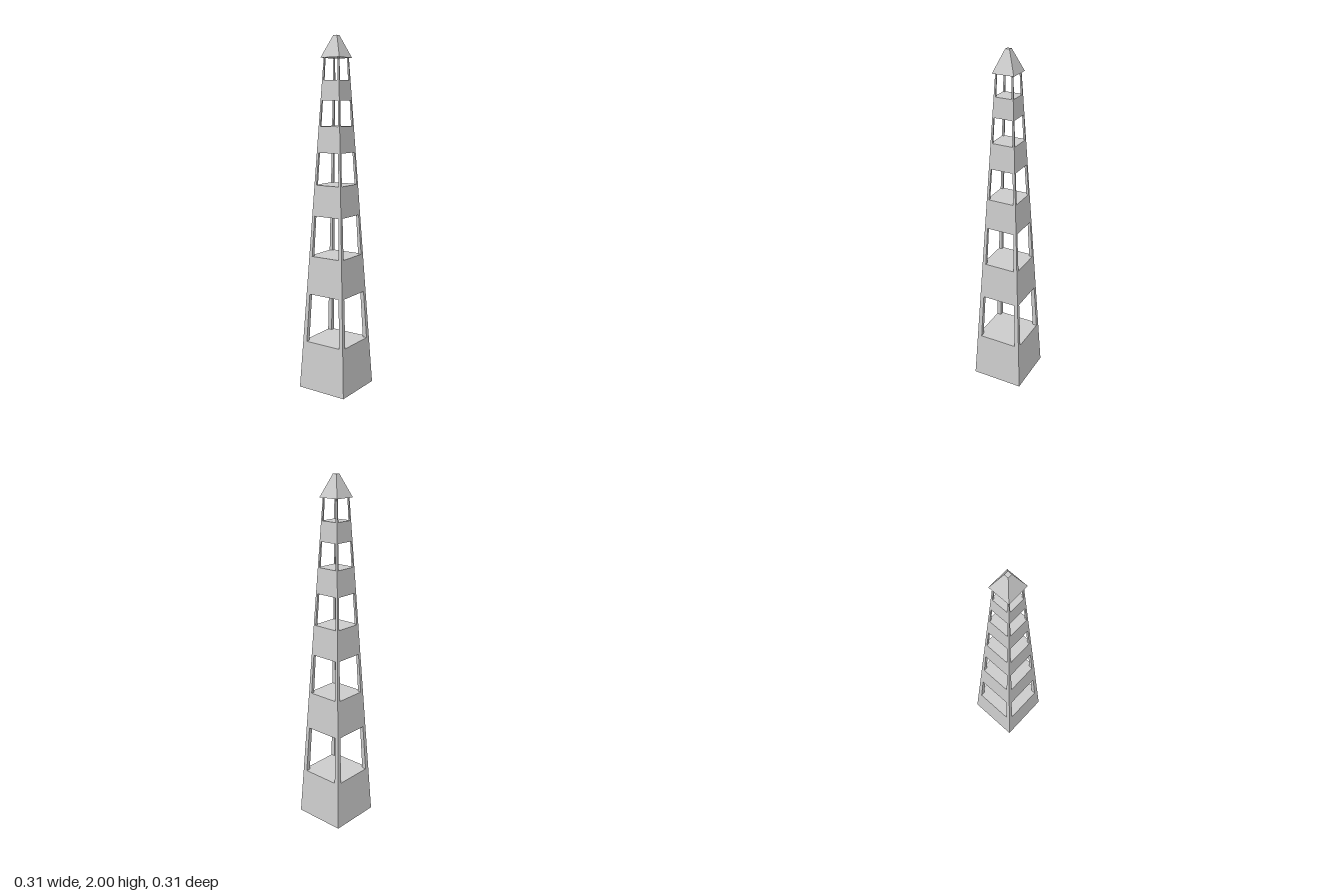
import * as THREE from 'three';

const material = new THREE.MeshStandardMaterial({ color: 0xcccccc });
const openMaterial = new THREE.MeshStandardMaterial({ color: 0xcccccc, side: THREE.DoubleSide });

// Outer half-width of the tapering tower at height y
const outer = (y) => 0.153 - 0.055 * y;

// Box whose bottom and top span [min, max] on both x and z, each given separately
function taperedBlock(y0, y1, bottom, top) {
  const geometry = new THREE.BoxGeometry(1, 1, 1);
  const p = geometry.attributes.position;
  for (let i = 0; i < p.count; i++) {
    const up = p.getY(i) > 0;
    const [min, max] = up ? top : bottom;
    p.setXYZ(i, p.getX(i) > 0 ? max : min, up ? y1 : y0, p.getZ(i) > 0 ? max : min);
  }
  geometry.computeVertexNormals();
  return geometry;
}

const centred = (h) => [-h, h];

export function createModel() {
  const tower = new THREE.Group();
  tower.name = 'tower';

  function add(name, geometry, mat = material) {
    const mesh = new THREE.Mesh(geometry, mat);
    mesh.name = name;
    tower.add(mesh);
    return mesh;
  }

  // Hollow base, open underneath: drop the bottom face of the block
  const base = taperedBlock(0, 0.28, centred(outer(0)), centred(outer(0.28)));
  const index = Array.from(base.index.array);
  index.splice(18, 6);
  base.setIndex(index);
  base.clearGroups();
  add('base', base, openMaterial);

  // Solid bands between the openings
  const bands = [[0.56, 0.78], [1.01, 1.185], [1.365, 1.51], [1.65, 1.76]];
  bands.forEach(([y0, y1], i) => {
    add(`band${i + 1}`, taperedBlock(y0, y1, centred(outer(y0)), centred(outer(y1))));
  });

  // Openings: bottom, top, and half-width of the gap at bottom and top
  const openings = [
    [0.28, 0.56, 0.112, 0.1],
    [0.78, 1.01, 0.09, 0.081],
    [1.185, 1.365, 0.074, 0.065],
    [1.51, 1.65, 0.059, 0.053],
    [1.76, 1.88, 0.046, 0.042],
  ];

  // Four leaning corner posts around each opening
  openings.forEach(([y0, y1, gap0, gap1], i) => {
    const post = taperedBlock(y0, y1, [gap0, outer(y0)], [gap1, outer(y1)]);
    for (let k = 0; k < 4; k++) {
      add(`cornerPost${i + 1}_${k + 1}`, post).rotation.y = (k * Math.PI) / 2;
    }
  });

  // Overhanging roof with a small flat tip
  add('roof', taperedBlock(1.88, 2, centred(0.062), centred(0.012)));

  return tower;
}
